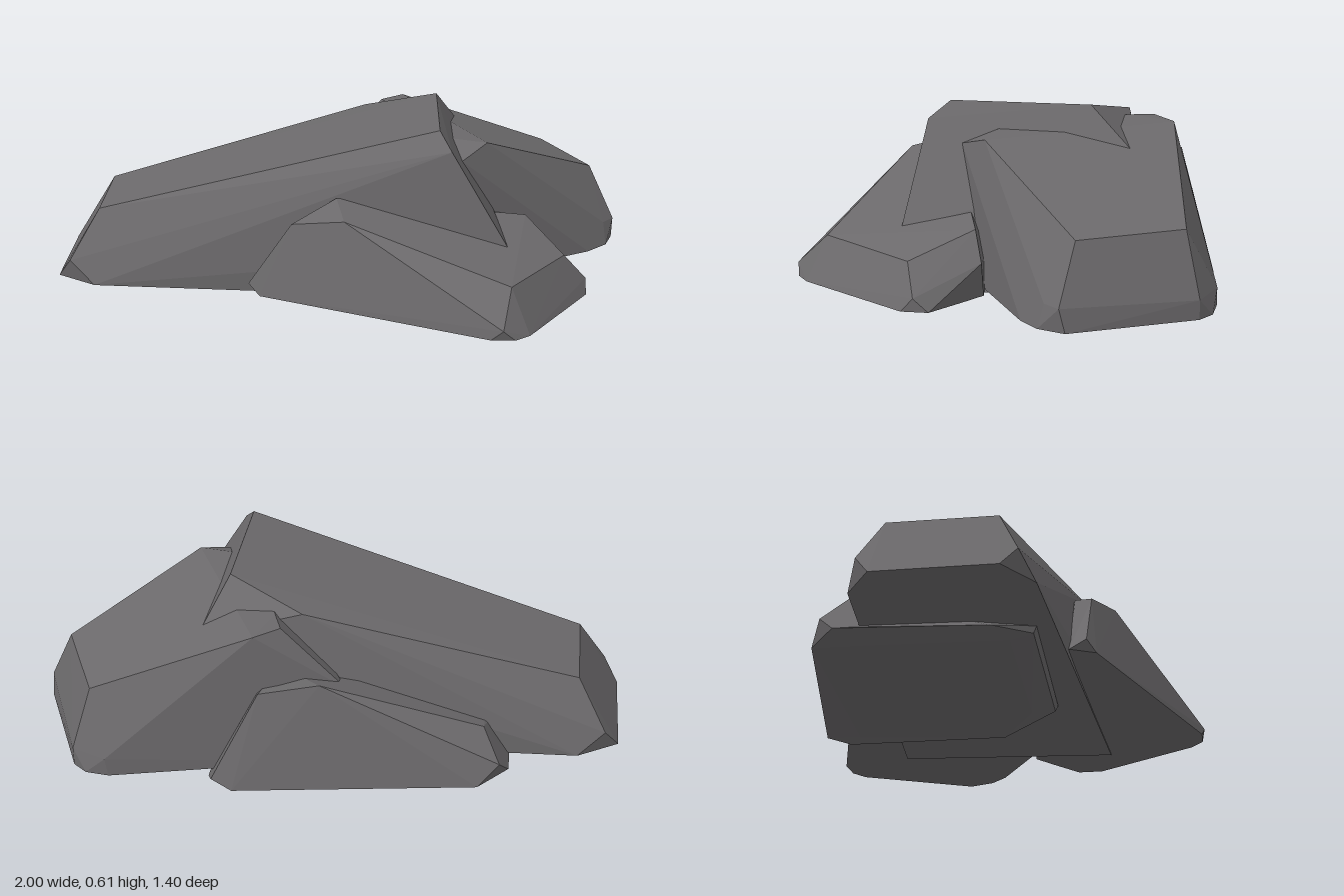
import * as THREE from 'three';
import { ConvexGeometry } from 'three/addons/geometries/ConvexGeometry.js';

// Each boulder is the faceted hull of a few corner points [x, y, z].
const boulders = {
  // long slab rising towards the right
  mainBoulder: [
    [-0.85, 0.28, -0.25], [-0.85, 0.28, 0.11], [0.34, 0.605, 0.21], [0.34, 0.605, -0.26],
    [0.08, 0.53, -0.37], [0.43, 0.45, -0.43], [0.38, 0.55, 0.28], [0.58, 0.22, 0.34],
    [-1, 0.035, -0.27], [-0.95, 0.11, -0.32], [-0.86, 0.035, -0.36],
    [-1, 0.035, 0.13], [-0.95, 0.11, 0.18], [-0.86, 0.035, 0.225],
    [0.66, 0.04, 0.34], [0.6, 0.04, -0.44],
  ],
  // broad block behind, sloping down to the right
  rearBoulder: [
    [0.91, 0.33, -0.27], [0.76, 0.33, -0.6], [0.51, 0.52, 0.07], [0.42, 0.48, 0.16],
    [0.3, 0.53, 0.02], [0.22, 0.525, -0.53], [0.14, 0.525, -0.46], [0.17, 0.53, -0.38],
    [1, 0.14, -0.23], [0.96, 0.14, -0.18], [1, 0.06, -0.25], [0.97, 0.06, -0.16], [0.9, 0.055, -0.1],
    [0.82, 0.12, -0.65], [0.82, 0.055, -0.65], [0.77, 0.055, -0.69], [0.7, 0.12, -0.7], [0.69, 0.055, -0.7],
    [0.65, 0.055, 0.05], [0.4, 0.055, 0.12], [0, 0.055, -0.53], [-0.2, 0.055, -0.42], [-0.08, 0.3, -0.45],
  ],
  // low block leaning on the front
  frontBoulder: [
    [-0.16, 0.31, 0.34], [-0.01, 0.38, 0.27], [0.02, 0.345, 0.41], [0.57, 0.19, 0.59],
    [0.77, 0.185, 0.28], [0.65, 0.26, 0.08], [0.72, 0.17, 0.05],
    [-0.31, 0.09, 0.33], [-0.3, 0.06, 0.27], [-0.27, 0.055, 0.36],
    [0.5, 0.045, 0.69], [0.54, 0.08, 0.7], [0.58, 0.045, 0.69], [0.63, 0.045, 0.65],
    [0.85, 0.045, 0.29], [0.85, 0.09, 0.25], [0.85, 0.045, 0.2], [0.75, 0.045, 0.11], [0.68, 0.045, 0.05],
    [0.1, 0.045, 0.1],
  ],
  // base slab running under the others and showing at the back
  baseBoulder: [
    [-0.63, 0.03, -0.39], [-0.63, 0.03, -0.46], [-0.6, 0.08, -0.51], [-0.53, 0.01, -0.55],
    [0.28, 0.015, -0.68], [0.35, 0.05, -0.67], [0.37, 0.02, -0.61],
    [-0.54, 0.175, -0.43], [0, 0.37, -0.55], [0.2, 0.34, -0.58], [0.15, 0.34, -0.4], [-0.45, 0.17, -0.3],
    [-0.55, 0, -0.42], [0.25, 0, -0.55], [0.36, 0.015, -0.03], [0.13, 0.015, 0.18],
    [-0.55, 0.01, 0.18], [-0.62, 0.015, 0.05], [-0.53, 0, 0.1], [0.1, 0, 0.1],
    [0.13, 0.035, 0.19], [-0.55, 0.035, 0.19],
  ],
};

export function createModel() {
  const group = new THREE.Group();
  group.name = 'rockPile';
  const stone = new THREE.MeshStandardMaterial({ color: 0x6b696b, flatShading: true });
  stone.name = 'grey stone';
  for (const [name, corners] of Object.entries(boulders)) {
    const points = corners.map((c) => new THREE.Vector3(...c));
    const mesh = new THREE.Mesh(new ConvexGeometry(points), stone);
    mesh.name = name;
    group.add(mesh);
  }
  return group;
}
